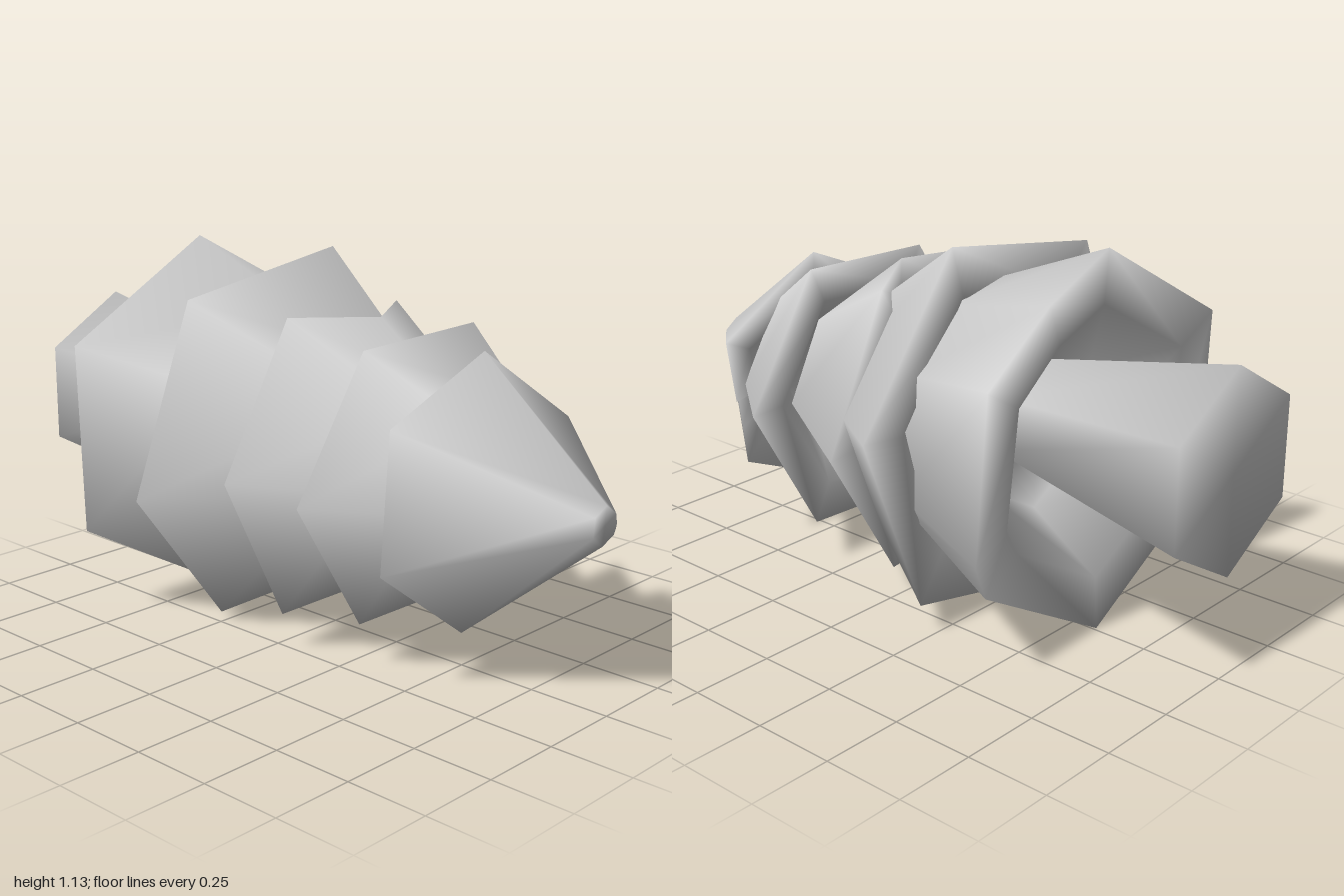
import * as THREE from 'three';

// Lofts rings front to back. Each ring has points [x, y, z] (clockwise seen from +z)
// and a tilt: the angle of its smooth normals from straight outwards towards +z.
function loft(name, angles, rings) {
  const n = angles.length;
  const positions = [], normals = [], index = [];
  rings.forEach(({ points, tilt }, i) => {
    for (let j = 0; j < n; j++) {
      positions.push(...points[j]);
      normals.push(Math.cos(tilt) * Math.cos(angles[j]), Math.cos(tilt) * Math.sin(angles[j]), Math.sin(tilt));
      if (i === rings.length - 1) continue;
      const a = i * n + j, d = i * n + (j + 1) % n;
      index.push(a, d, a + n, a + n, d, d + n);
    }
  });
  const geo = new THREE.BufferGeometry();
  geo.setAttribute('position', new THREE.Float32BufferAttribute(positions, 3));
  geo.setAttribute('normal', new THREE.Float32BufferAttribute(normals, 3));
  geo.setIndex(index);
  const mat = new THREE.MeshStandardMaterial({ color: 0xcccccc, side: THREE.DoubleSide });
  const mesh = new THREE.Mesh(geo, mat);
  mesh.name = name;
  return mesh;
}

// Ring of the given radius with its points at the given angles
const circle = ([cx, cy], angles, r, z) =>
  angles.map(a => [cx + r * Math.cos(a), cy + r * Math.sin(a), z]);

// Rim shrunk towards its centre and moved forwards
const shrink = (rim, [cx, cy], s, dz) =>
  rim.map(([x, y, z]) => [cx + (x - cx) * s, cy + (y - cy) * s, z + dz]);

// One skirt of branches: closed front end, flared rim, flat rolled edge, hollow underside
function tier({ name, rim, centre, frontCentre = centre, front, radius, tilt, hollow }) {
  const angles = rim.map(([x, y]) => Math.atan2(y - centre[1], x - centre[0]));
  return loft(name, angles, [
    { points: circle(frontCentre, angles, 0, front), tilt: Math.PI / 2 },
    { points: circle(frontCentre, angles, radius, front), tilt },
    { points: rim, tilt: -0.29 },
    { points: shrink(rim, centre, 0.72, 0.01), tilt: -1.9 },
    { points: shrink(rim, centre, 0.45, hollow), tilt: -2.5 },
    { points: shrink(rim, centre, 0, hollow), tilt: -Math.PI / 2 },
  ]);
}

const tiers = [
  { // tip, with a small cut in its rim
    name: 'tipBranches', centre: [-0.02, 0.54], frontCentre: [-0.05, 0.555],
    front: 1, radius: 0.055, tilt: 0.6, hollow: 0.12,
    rim: [[0.02, 0.935, 0.54], [0.34, 0.70, 0.60], [0.325, 0.51, 0.58], [0.25, 0.507, 0.66],
      [0.305, 0.42, 0.58], [0.29, 0.30, 0.58], [-0.08, 0.145, 0.56],
      [-0.39, 0.385, 0.53], [-0.345, 0.78, 0.52]],
  },
  {
    name: 'upperBranches', centre: [0, 0.55], front: 0.6, radius: 0.27, tilt: 0.15, hollow: 0.12,
    rim: [[0.22, 0.957, 0.34], [0.46, 0.555, 0.35], [0.235, 0.15, 0.33],
      [-0.23, 0.145, 0.31], [-0.465, 0.54, 0.295], [-0.24, 0.945, 0.33]],
  },
  { // middle, with a notch in the top of its rim
    name: 'middleBranches', centre: [-0.01, 0.545], front: 0.4, radius: 0.27, tilt: 0.3, hollow: 0.14,
    rim: [[-0.24, 0.995, 0.04], [0.01, 0.98, 0.17], [0.27, 0.97, 0.0], [0.495, 0.52, -0.01],
      [0.225, 0.095, 0.01], [-0.28, 0.12, 0.05], [-0.51, 0.57, 0.06]],
  },
  {
    name: 'lowerBranches', centre: [0, 0.565], front: 0.25, radius: 0.27, tilt: 0.6, hollow: 0.15,
    rim: [[-0.375, 1.03, -0.225], [0.21, 1.12, -0.21], [0.585, 0.655, -0.23],
      [0.37, 0.105, -0.235], [-0.21, 0.015, -0.29], [-0.585, 0.475, -0.23]],
  },
  { // bottom, with two shallow dents in its rim
    name: 'bottomBranches', centre: [-0.01, 0.57], front: -0.15, radius: 0.4, tilt: 0.5, hollow: 0.24,
    rim: [[-0.01, 1.14, -0.575], [0.2, 1.02, -0.545], [0.485, 0.86, -0.575],
      [0.485, 0.36, -0.54], [0.485, 0.285, -0.575], [-0.01, 0.005, -0.575],
      [-0.5, 0.285, -0.575], [-0.5, 0.86, -0.595]],
  },
];

// Six-sided trunk, widening towards its flat foot
function trunk() {
  const angles = Array.from({ length: 6 }, (_, i) => Math.PI / 2 - i * Math.PI / 3);
  const ring = (r, z) => circle([-0.01, 0.608], angles, r, z);
  return loft('trunk', angles, [
    { points: ring(0.16, -0.3), tilt: 0.2 },
    { points: ring(0.3, -1), tilt: -0.7 },
    { points: ring(0, -1), tilt: -Math.PI / 2 },
  ]);
}

export function createModel() {
  const group = new THREE.Group();
  group.name = 'tree';
  for (const t of tiers) group.add(tier(t));
  group.add(trunk());
  return group;
}
